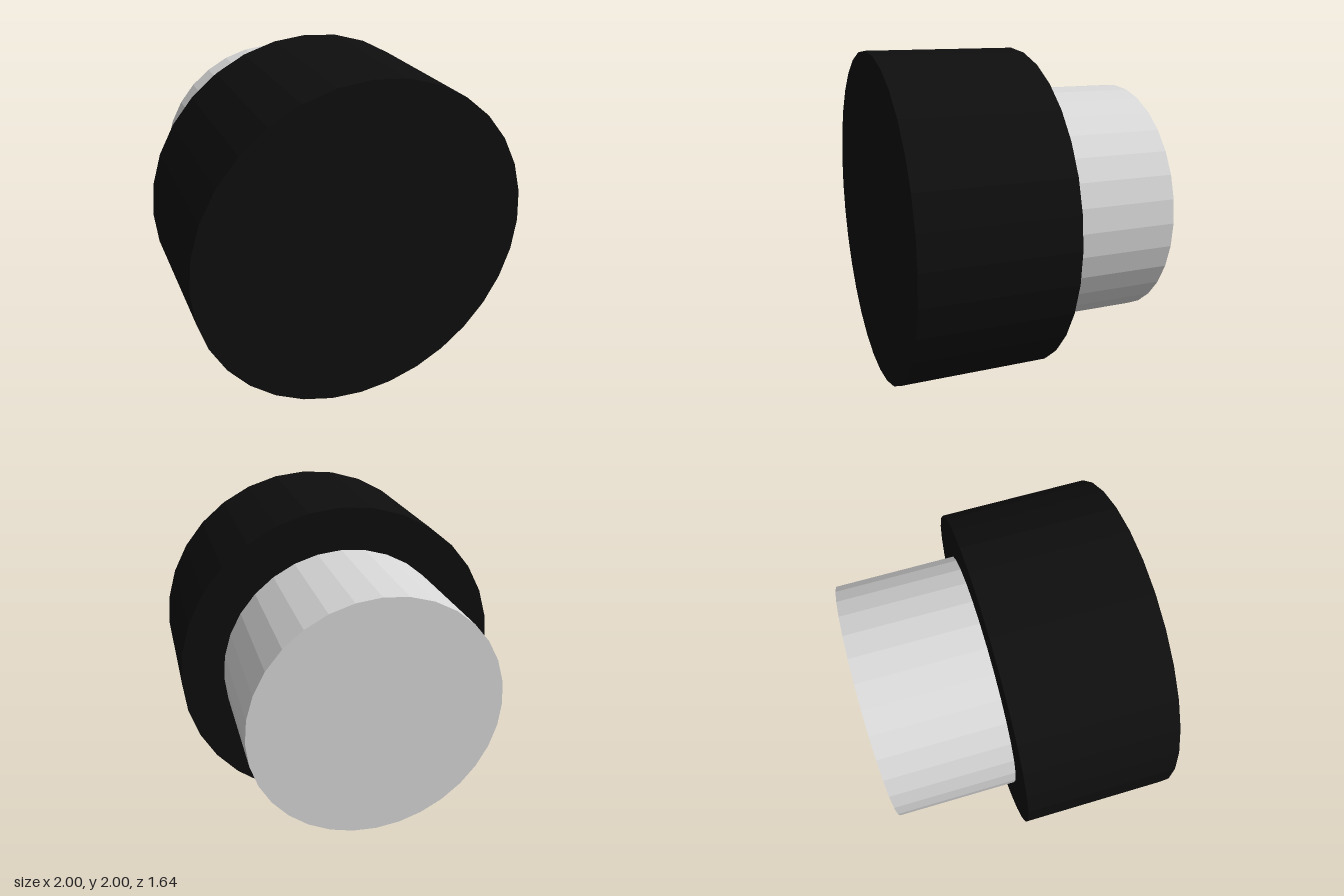
import * as THREE from 'three';

const SIDES = 32;
const black = new THREE.MeshStandardMaterial({ name: 'black', color: 0x0e0e0e, flatShading: true });
const lightGrey = new THREE.MeshStandardMaterial({ name: 'lightGrey', color: 0xd9d9d9, flatShading: true });

// Closed faceted cylinder lying along z, between two depths
function drum(name, radius, back, front, material) {
  const geometry = new THREE.CylinderGeometry(radius, radius, front - back, SIDES);
  geometry.rotateX(Math.PI / 2);
  const mesh = new THREE.Mesh(geometry, material);
  mesh.name = name;
  mesh.position.set(0, 1, (front + back) / 2);
  return mesh;
}

export function createModel() {
  const model = new THREE.Group();
  model.name = 'steppedDrum';
  // Wide front drum and the narrower hub behind it
  model.add(drum('frontDrum', 1, -0.08, 0.82, black));
  model.add(drum('rearHub', 0.745, -0.82, -0.08, lightGrey));
  return model;
}
